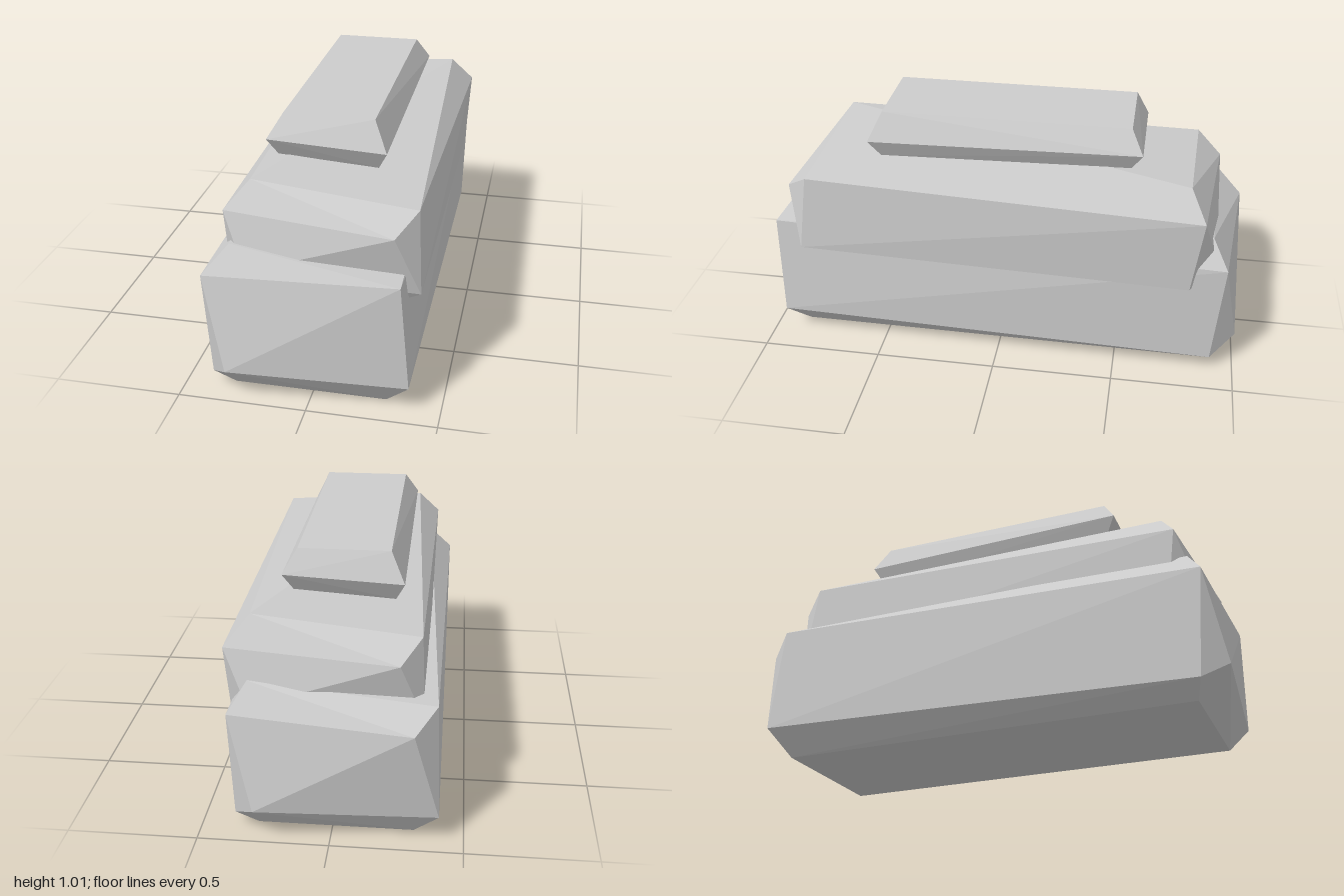
import * as THREE from 'three';
import { ConvexGeometry } from 'three/addons/geometries/ConvexGeometry.js';

export function createModel() {
  const group = new THREE.Group();
  const stone = new THREE.MeshStandardMaterial({ color: 0xcccccc });
  stone.name = 'palegrey stone';
  const plateMaterial = stone.clone();
  plateMaterial.side = THREE.DoubleSide;

  // A faceted slab is the hull of its hewn corners.
  function slab(name, corners) {
    const points = corners.map((c) => new THREE.Vector3(...c));
    const mesh = new THREE.Mesh(new ConvexGeometry(points), stone);
    mesh.name = name;
    group.add(mesh);
  }

  slab('baseSlab', [
    // front end
    [-0.31, 0.61, 0.87], [0.345, 0.54, 0.95], [-0.405, 0.5, 0.935],
    [0.38, 0.11, 0.94], [-0.31, 0.13, 1], [-0.39, 0.06, 0.9],
    [0.285, 0, 0.87], [-0.31, 0, 0.87],
    // back end
    [0.31, 0.61, -0.87], [-0.39, 0.555, -0.9], [-0.31, 0.48, -1],
    [0.38, 0.5, -0.935], [0.285, 0.13, -1], [-0.405, 0.11, -0.94],
    [0.37, 0.06, -0.9], [0.285, 0, -0.87], [-0.31, 0, -0.87],
  ]);

  slab('middleSlab', [
    // front end
    [-0.25, 0.83, 0.765], [0.385, 0.775, 0.79], [0.31, 0.7, 0.89],
    [-0.34, 0.725, 0.83], [-0.25, 0.51, 0.89], [0.403, 0.455, 0.83],
    [-0.33, 0.42, 0.79], [0.31, 0.4, 0.8], [-0.25, 0.4, 0.78],
    // back end
    [0.31, 0.83, -0.765], [-0.325, 0.775, -0.79], [-0.25, 0.7, -0.89],
    [0.403, 0.72, -0.83], [0.31, 0.51, -0.89], [-0.34, 0.455, -0.83],
    [0.385, 0.4, -0.79], [-0.25, 0.4, -0.8],
  ]);

  // Cap: three rectangular rings, the lower two twisted corner to corner.
  const cap = [];
  for (const [left, right, back, front, y, twist] of [
    [-0.21, 0.185, -0.52, 0.52, 0.818, 0.013],
    [-0.245, 0.223, -0.565, 0.565, 0.893, 0.012],
    [-0.19, 0.168, -0.515, 0.51, 0.997, 0],
  ]) {
    cap.push([left, y + twist, front], [right, y - twist, front],
      [right, y + twist, back], [left, y - twist, back]);
  }
  slab('capSlab', cap);

  // Thin plate just above the cap
  const plate = new THREE.Mesh(new THREE.PlaneGeometry(0.28, 0.59).rotateX(-Math.PI / 2), plateMaterial);
  plate.name = 'topPlate';
  plate.position.set(-0.012, 1.014, 0.138);
  group.add(plate);

  return group;
}
